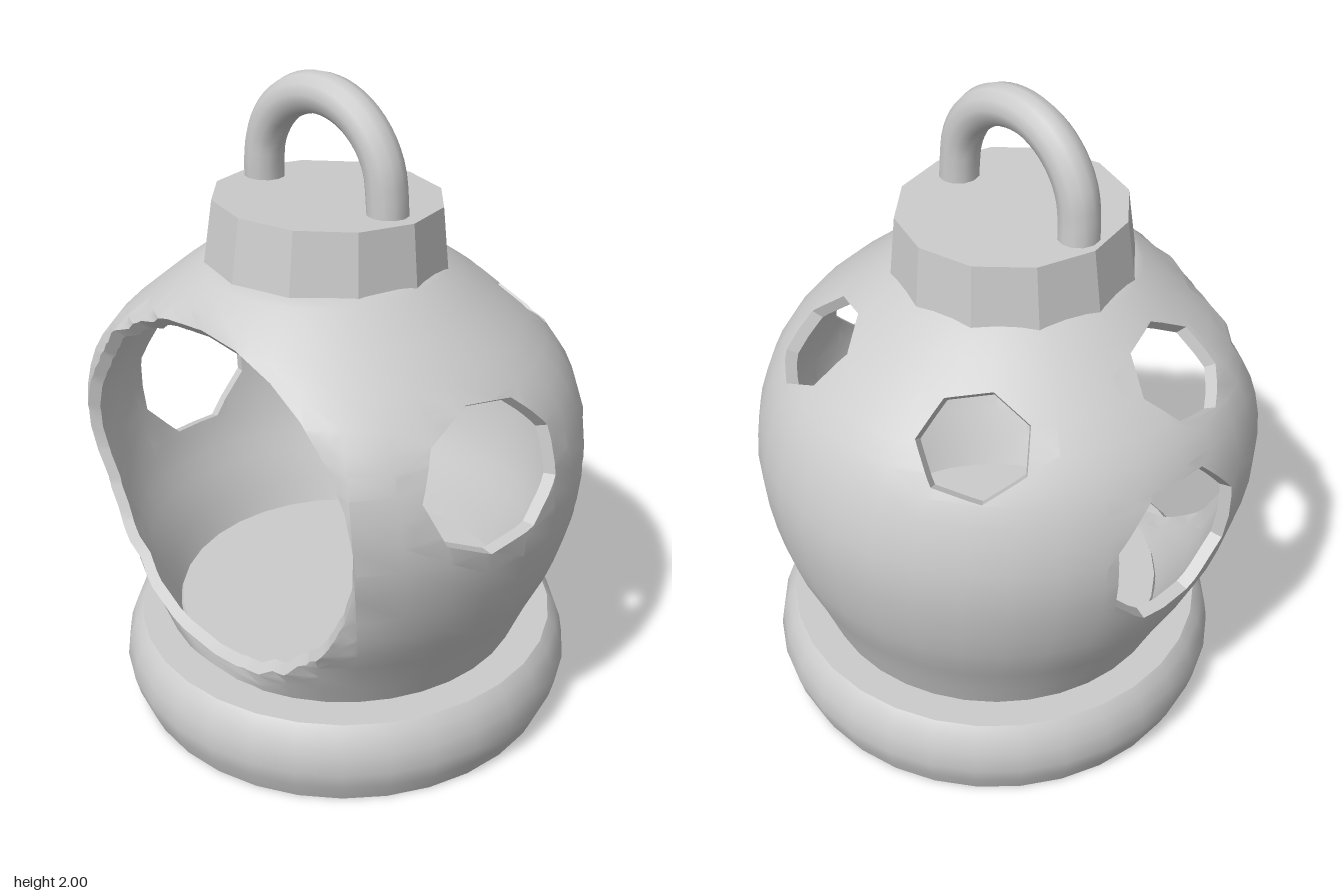
import * as THREE from 'three';
import { toCreasedNormals } from 'three/addons/utils/BufferGeometryUtils.js';

const V = (x, y, z) => new THREE.Vector3(x, y, z);
const CENTRE = V(-0.005, 0.85, 0.05); // every opening is cut radially from here
const WALL = 0.95;                    // inner skin = outer skin scaled about CENTRE

// openings: point on the skin relative to CENTRE, half width, half height, sides
const OPENINGS = [
  { at: V(0, 0, 0.5), w: 0.61, h: 0.545, n: 26 },           // large front mouth
  { at: V(0.73, 0.21, 0.08), w: 0.255, h: 0.225, n: 9 },    // +x side
  { at: V(-0.76, 0.02, -0.01), w: 0.25, h: 0.27, n: 8 },    // -x side
  { at: V(0.56, -0.03, -0.51), w: 0.195, h: 0.195, n: 8 },  // back, low
  { at: V(-0.39, 0.41, -0.46), w: 0.165, h: 0.155, n: 7 },  // back, high
  { at: V(0.24, 0.43, -0.5), w: 0.16, h: 0.15, n: 7 },      // back, high
  { at: V(-0.53, 0.45, 0.14), w: 0.16, h: 0.15, n: 7 },     // side, high
];

// side planes of the pyramid from CENTRE through an opening, facing inwards
function openingPlanes({ at, w, h, n }) {
  const d = at.clone().normalize();
  const right = V(0, 1, 0).cross(d).normalize();
  const up = d.clone().cross(right);
  const pts = Array.from({ length: n }, (_, i) => {
    const a = ((i + 0.5) / n) * Math.PI * 2;
    return at.clone().addScaledVector(right, w * Math.cos(a)).addScaledVector(up, h * Math.sin(a));
  });
  return pts.map((p, i) => p.clone().cross(pts[(i + 1) % n]).normalize());
}

// split a convex polygon by a plane through the origin: [inside, outside]
function split(poly, normal) {
  const inside = [], outside = [];
  poly.forEach((a, i) => {
    const b = poly[(i + 1) % poly.length];
    const da = a.dot(normal), db = b.dot(normal);
    if (da >= -1e-7) inside.push(a);
    if (da <= 1e-7) outside.push(a);
    if ((da > 1e-7 && db < -1e-7) || (da < -1e-7 && db > 1e-7)) {
      const p = a.clone().lerp(b, da / (da - db));
      inside.push(p);
      outside.push(p);
    }
  });
  return [inside, outside];
}

function fromTriangles(tris, crease) {
  const pos = [];
  for (const [a, b, c] of tris) {
    const area = b.clone().sub(a).cross(c.clone().sub(a)).length();
    if (area > 1e-9) for (const p of [a, b, c]) pos.push(p.x, p.y, p.z);
  }
  const g = new THREE.BufferGeometry();
  g.setAttribute('position', new THREE.Float32BufferAttribute(pos, 3));
  return toCreasedNormals(g, crease).translate(CENTRE.x, CENTRE.y, CENTRE.z);
}

// round skin, leaning forward a little with height and flattened at the front
function skinPolygons() {
  const side = new THREE.SplineCurve([
    [0.555, 0.25], [0.62, 0.4], [0.71, 0.6], [0.765, 0.86], [0.735, 1.08],
    [0.64, 1.24], [0.44, 1.41], [0.34, 1.48],
  ].map(([x, y]) => new THREE.Vector2(x, y))).getPoints(21);
  const g = new THREE.LatheGeometry([...side, new THREE.Vector2(0, 1.5)], 36);
  const p = g.attributes.position;
  const verts = [];
  for (let i = 0; i < p.count; i++) {
    const y = p.getY(i);
    const z = p.getZ(i) + 0.07 * (y - 0.26);
    verts.push(V(p.getX(i) - 0.005, y, Math.min(z, 0.55)).sub(CENTRE));
  }
  const polys = [];
  for (let i = 0; i < g.index.count; i += 3) {
    polys.push([0, 1, 2].map((k) => verts[g.index.getX(i + k)]));
  }
  return polys;
}

function buildBody(material) {
  let polys = skinPolygons();
  const rims = [];
  for (const opening of OPENINGS) {
    const planes = openingPlanes(opening);
    const kept = [];
    for (const poly of polys) {
      let rest = poly;
      const pieces = [];
      for (const n of planes) {
        const [inside, outside] = split(rest, n);
        if (outside.length > 2) pieces.push(outside);
        rest = inside;
        if (rest.length < 3) break;
      }
      if (rest.length < 3) { kept.push(poly); continue; }
      kept.push(...pieces);
      // cut edges become the thickness of the wall
      rest.forEach((a, i) => {
        const b = rest[(i + 1) % rest.length];
        if (!planes.some((n) => Math.abs(a.dot(n)) < 1e-5 && Math.abs(b.dot(n)) < 1e-5)) return;
        const a2 = a.clone().multiplyScalar(WALL), b2 = b.clone().multiplyScalar(WALL);
        rims.push([a, b, b2], [a, b2, a2]);
      });
    }
    polys = kept;
  }
  const outer = [];
  for (const poly of polys) {
    for (let i = 1; i < poly.length - 1; i++) outer.push([poly[0], poly[i], poly[i + 1]]);
  }
  const inner = outer.map((t) => [t[0], t[2], t[1]].map((v) => v.clone().multiplyScalar(WALL)));

  const body = new THREE.Group();
  body.name = 'body';
  const parts = { outerShell: [outer, 0.6], innerShell: [inner, 0.6], openingRims: [rims, 0.3] };
  for (const [name, [tris, crease]] of Object.entries(parts)) {
    const mesh = new THREE.Mesh(fromTriangles(tris, crease), material);
    mesh.name = name;
    body.add(mesh);
  }
  return body;
}

export function createModel() {
  const model = new THREE.Group();
  model.name = 'hangingHouse';
  const material = new THREE.MeshStandardMaterial({ color: 0xcccccc });
  const add = (name, geometry) => {
    const mesh = new THREE.Mesh(geometry, material);
    mesh.name = name;
    model.add(mesh);
    return mesh;
  };

  model.add(buildBody(material));

  // rounded foot with the floor of the hollow body on top
  const foot = [
    [0, 0], [0.675, 0], [0.7, 0.06], [0.715, 0.12], [0.705, 0.18], [0.685, 0.235],
    [0.66, 0.262], [0.545, 0.262], [0.53, 0.3], [0, 0.3],
  ].map(([x, y]) => new THREE.Vector2(x, y));
  add('base', toCreasedNormals(new THREE.LatheGeometry(foot, 32), 0.65));

  // faceted collar, tipped slightly backwards
  const collar = add('collar', toCreasedNormals(new THREE.CylinderGeometry(0.335, 0.36, 0.2, 12), 0.3));
  collar.position.set(-0.01, 1.55, 0.06);
  collar.rotation.x = -0.04;

  // hanging loop
  const loop = [V(-0.265, 1.6, 0.07)];
  for (let i = 0; i <= 10; i++) {
    const a = Math.PI * (1 - i / 10);
    loop.push(V(-0.02 + 0.24 * Math.cos(a), 1.7 + 0.24 * Math.sin(a), 0.065 - 0.01 * Math.cos(a)));
  }
  loop.push(V(0.225, 1.6, 0.055));
  add('handle', new THREE.TubeGeometry(new THREE.CatmullRomCurve3(loop), 36, 0.06, 12));

  return model;
}
